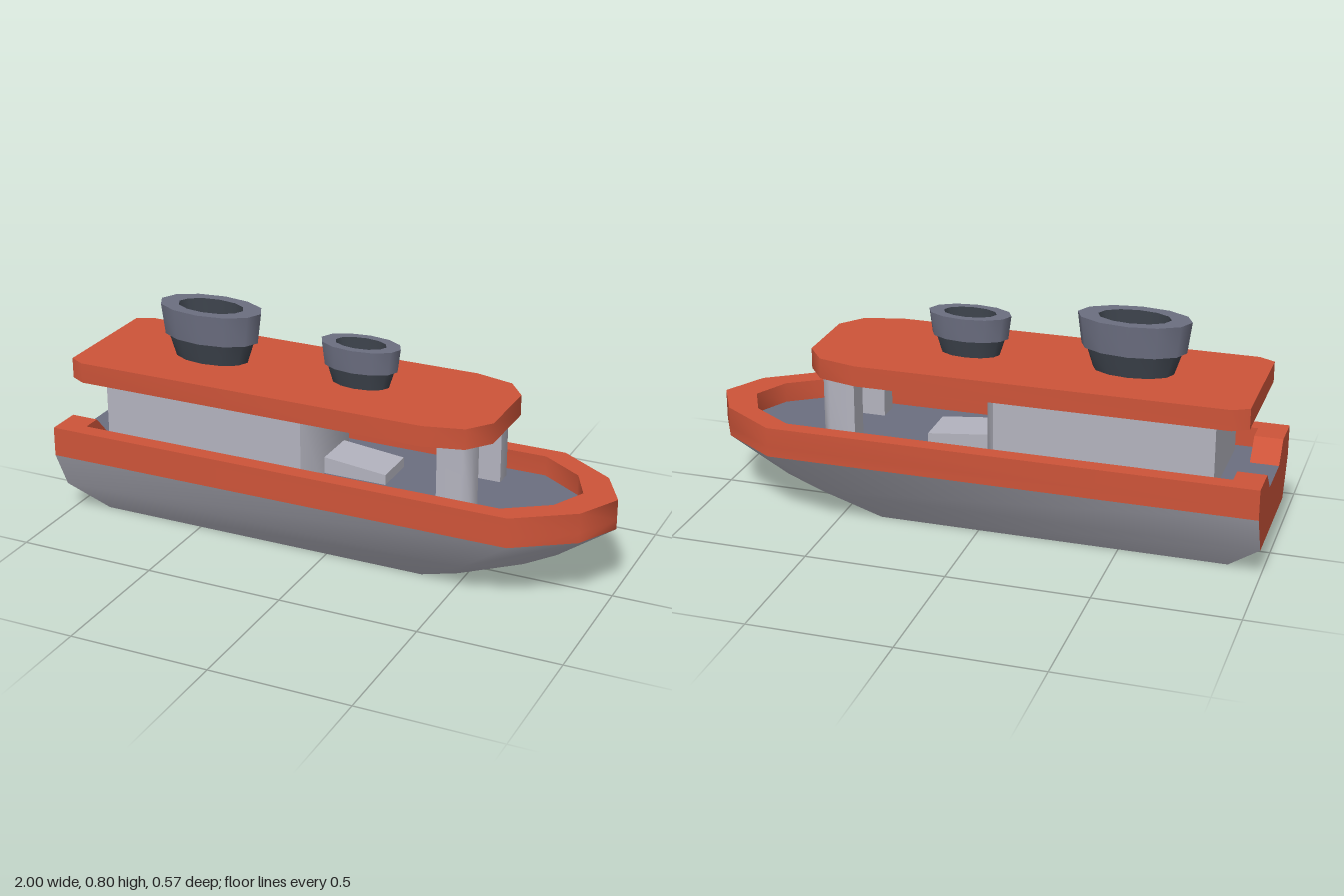
import * as THREE from 'three';
import { toCreasedNormals } from 'three/addons/utils/BufferGeometryUtils.js';

const mat = (name, color) => {
  const m = new THREE.MeshStandardMaterial({ color });
  m.name = name;
  return m;
};

// Smooth shading over gentle corners, sharp edges elsewhere
const CREASE = 1.0;

// Mirrors a half outline of [x, z] points across the keel; end points on z = 0 stay single
const mirror = (half) => [...half, ...half.filter((p) => p[1] !== 0).reverse().map(([x, z]) => [x, -z])];

const toShape = (pts) => new THREE.Shape(pts.map(([x, z]) => new THREE.Vector2(x, -z)));

// Upright slab with the given plan outline
function slab(pts, y0, y1) {
  const g = new THREE.ExtrudeGeometry(toShape(pts), { depth: y1 - y0, bevelEnabled: false });
  return toCreasedNormals(g.rotateX(-Math.PI / 2).translate(0, y0, 0), CREASE);
}

// Skin between stacked rings; the last quad of each ring is the stern.
// Quads are kept when keep(level, isStern) is true.
function skin(rings, keep) {
  const pos = [];
  const n = rings[0].pts.length;
  for (let k = 0; k < rings.length - 1; k++) {
    for (let i = 0; i < n; i++) {
      if (!keep(k, i === n - 1)) continue;
      const j = (i + 1) % n;
      const at = (r, q) => [r.pts[q][0], r.y, r.pts[q][1]];
      const a = at(rings[k], i), b = at(rings[k], j);
      const c = at(rings[k + 1], j), d = at(rings[k + 1], i);
      pos.push(...a, ...b, ...c, ...a, ...c, ...d);
    }
  }
  const g = new THREE.BufferGeometry();
  g.setAttribute('position', new THREE.Float32BufferAttribute(pos, 3));
  return toCreasedNormals(g, CREASE);
}

export function createModel() {
  const red = mat('red paint', 0xcd5439);
  const grey = mat('light grey', 0xb3b3be);
  const slate = mat('slate', 0x6b6e80);
  const dark = mat('dark slate', 0x3c424b);

  const boat = new THREE.Group();
  boat.name = 'boat';
  const add = (name, geo, material, parent = boat) => {
    const m = new THREE.Mesh(geo, material);
    m.name = name;
    parent.add(m);
  };

  // Hull cross-sections, bow towards +x
  const DECK = 0.285, RAIL = 0.357;
  const outer = mirror([[-1, 0.283], [0.72, 0.283], [0.92, 0.15], [1, 0]]);
  const rings = [
    { y: 0, pts: mirror([[-0.88, 0.13], [0.36, 0.13], [0.47, 0.07], [0.51, 0]]) },
    { y: 0.11, pts: mirror([[-1, 0.215], [0.54, 0.215], [0.72, 0.11], [0.8, 0]]) },
    { y: 0.25, pts: outer },
    { y: DECK, pts: outer },
  ];
  add('hull', skin(rings, (k, stern) => k === 0 || (k === 1 && !stern)), grey);
  add('hullBand', skin(rings, (k, stern) => k === 2 && !stern), red);
  add('transom', skin(rings, (k, stern) => k > 0 && stern), red);
  add('hullBottom', new THREE.ShapeGeometry(toShape(rings[0].pts)).rotateX(Math.PI / 2), grey);
  add('deck', new THREE.ShapeGeometry(toShape(outer)).rotateX(-Math.PI / 2).translate(0, DECK, 0), slate);

  // Bulwark around the deck, open at the stern
  const well = mirror([[-0.9, 0.155], [-0.9, 0.225], [0.67, 0.225], [0.82, 0.125], [0.88, 0]]);
  add('bulwark', slab([[-1, 0.155], ...outer, [-1, -0.155], ...well.reverse()], DECK, RAIL), red);

  // Sloped cheeks of the stern opening
  for (const s of [1, -1]) {
    const tri = new THREE.Shape([[0.155, DECK], [0.155, RAIL], [0.09, DECK]].map(([z, y]) => new THREE.Vector2(-z * s, y)));
    const g = new THREE.ExtrudeGeometry(tri, { depth: 0.1, bevelEnabled: false });
    add(s > 0 ? 'leftSternCheek' : 'rightSternCheek', g.rotateY(Math.PI / 2).translate(-1, 0, 0), red);
  }

  // Cabin with angled front corners, and the two pillars carrying the roof
  const ROOF = 0.537;
  add('cabin', slab(mirror([[-0.83, 0.187], [-0.07, 0.187], [-0.03, 0.12]]), DECK, ROOF), grey);
  for (const s of [1, -1]) {
    const plan = [[0.43, 0.107], [0.43, 0.187], [0.52, 0.187], [0.548, 0.168], [0.548, 0.107]];
    add(s > 0 ? 'leftPillar' : 'rightPillar', slab(plan.map(([x, z]) => [x, z * s]), DECK, ROOF), grey);
  }

  // Low bench in front of the cabin, its top sloping gently forward
  const side = new THREE.Shape([[-0.03, DECK], [0.2, DECK], [0.2, 0.322], [-0.03, 0.345]].map((p) => new THREE.Vector2(...p)));
  add('bench', new THREE.ExtrudeGeometry(side, { depth: 0.16, bevelEnabled: false }).translate(0, 0, -0.08), grey);

  // Roof
  add('roof', slab(mirror([[-0.945, 0.22], [-0.89, 0.25], [0.4, 0.25], [0.54, 0.215], [0.605, 0.13]]), ROOF, 0.61), red);

  // Oval funnels: dark stem, wide collar, dark hollow
  const lathe = (pts) => toCreasedNormals(
    new THREE.LatheGeometry(pts.map((p) => new THREE.Vector2(...p)), 12, Math.PI / 2), CREASE);
  const funnel = (name, x, top, collarY, r) => {
    const f = new THREE.Group();
    f.name = name;
    f.position.x = x;
    f.scale.z = 0.545;
    const floor = collarY - 0.01;
    add('stem', lathe([[r * 0.71, 0.608], [r * 0.85, collarY]]), dark, f);
    add('collar', lathe([[r * 0.8, collarY], [r * 0.925, collarY], [r, top], [r * 0.64, top]]), slate, f);
    add('hollow', lathe([[r * 0.64, top], [r * 0.57, floor], [0, floor]]), dark, f);
    boat.add(f);
  };
  funnel('aftFunnel', -0.505, 0.8, 0.69, 0.196);
  funnel('foreFunnel', 0.07, 0.755, 0.672, 0.147);

  return boat;
}
